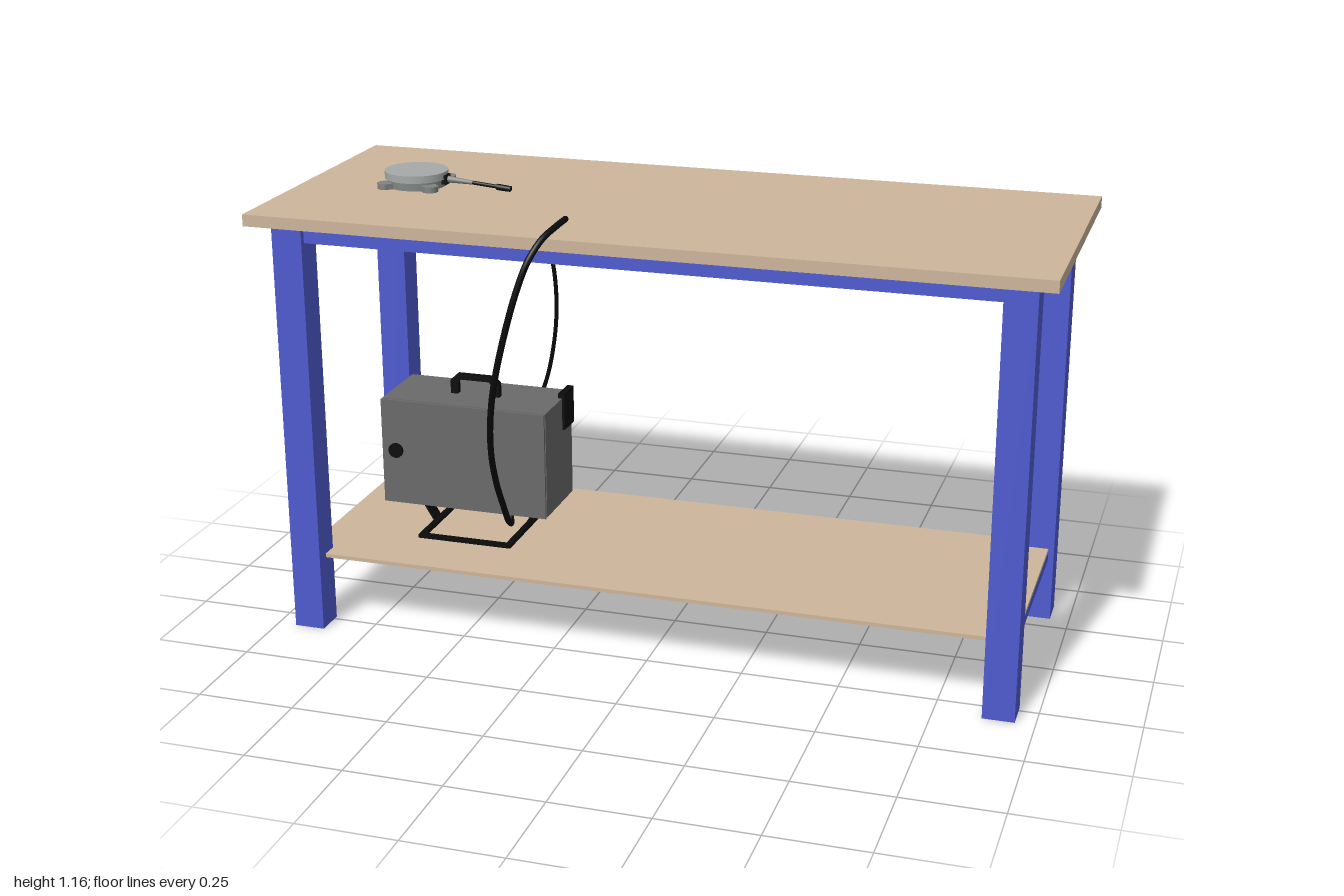
import * as THREE from 'three';

const mat = (color) => new THREE.MeshStandardMaterial({ color });
const WOOD = mat(0xcdb59b), BLUE = mat(0x4f5bd0), GREY = mat(0x6a6a6a);
const BLACK = mat(0x0b0b0b), METAL = mat(0xa5aaa8), DARK_METAL = mat(0x808583);

export function createModel() {
  const root = new THREE.Group();

  const add = (parent, name, geometry, material) => {
    const mesh = new THREE.Mesh(geometry, material);
    mesh.name = name;
    parent.add(mesh);
    return mesh;
  };
  // Box given by its extents on each axis
  const box = (parent, name, material, x0, x1, y0, y1, z0, z1) => {
    const mesh = add(parent, name, new THREE.BoxGeometry(x1 - x0, y1 - y0, z1 - z0), material);
    mesh.position.set((x0 + x1) / 2, (y0 + y1) / 2, (z0 + z1) / 2);
    return mesh;
  };
  const group = (name) => {
    const g = new THREE.Group();
    g.name = name;
    root.add(g);
    return g;
  };
  // Capped cable through a list of points
  const cable = (parent, name, points, r, material = BLACK) => {
    const pts = points.map((p) => new THREE.Vector3(...p));
    const curve = new THREE.CatmullRomCurve3(pts, false, 'centripetal');
    add(parent, name, new THREE.TubeGeometry(curve, 80, r, 10), material);
    for (const end of [pts[0], pts[pts.length - 1]]) {
      add(parent, name + 'End', new THREE.SphereGeometry(r, 10, 6), material).position.copy(end);
    }
  };
  // Round bar between two points
  const bar = (parent, name, a, b, r, material = BLACK) => {
    const p = new THREE.Vector3(...a), q = new THREE.Vector3(...b), d = q.clone().sub(p);
    const mesh = add(parent, name, new THREE.CylinderGeometry(r, r, d.length() + r, 10), material);
    mesh.position.copy(p).add(q).multiplyScalar(0.5);
    mesh.quaternion.setFromUnitVectors(new THREE.Vector3(0, 1, 0), d.normalize());
    return mesh;
  };

  // Bench: top, shelf, legs and rails
  const bench = group('workbench');
  box(bench, 'tabletop', WOOD, -1, 1, 1.095, 1.125, -0.43, 0.367);
  box(bench, 'shelf', WOOD, -0.935, 0.935, 0.19, 0.2, -0.345, 0.28);
  for (const s of [-1, 1]) {
    const x = s * 0.91;
    box(bench, 'frontLeg', BLUE, x - 0.04, x + 0.04, 0, 1.095, 0.236, 0.316);
    box(bench, 'backLeg', BLUE, x - 0.04, x + 0.04, 0, 1.095, -0.38, -0.3);
    box(bench, 'sideApron', BLUE, x - 0.025, x + 0.025, 1.045, 1.095, -0.3, 0.236);
    box(bench, 'shelfRail', BLUE, x - 0.025, x + 0.025, 0.166, 0.19, -0.3, 0.236);
  }
  for (const z of [0.276, -0.34]) {
    box(bench, 'longApron', BLUE, -0.87, 0.87, 1.045, 1.095, z - 0.025, z + 0.025);
  }

  // Control cabinet with door, knob, handle and side box
  const cabinet = group('cabinet');
  box(cabinet, 'cabinetBody', GREY, -0.78, -0.325, 0.288, 0.575, -0.12, 0.08);
  box(cabinet, 'doorSeal', BLACK, -0.777, -0.328, 0.291, 0.572, 0.08, 0.085);
  box(cabinet, 'cabinetDoor', GREY, -0.78, -0.325, 0.288, 0.575, 0.085, 0.092);
  box(cabinet, 'sideBox', BLACK, -0.335, -0.318, 0.488, 0.588, -0.121, -0.048);
  const knob = add(cabinet, 'doorKnob', new THREE.CylinderGeometry(0.02, 0.02, 0.008, 24), BLACK);
  knob.rotation.x = Math.PI / 2;
  knob.position.set(-0.741, 0.436, 0.095);

  const handle = new THREE.Shape();
  [[-0.068, 0], [-0.068, 0.038], [-0.05, 0.055], [0.05, 0.055], [0.068, 0.038], [0.068, 0],
    [0.048, 0], [0.048, 0.032], [0.04, 0.041], [-0.04, 0.041], [-0.048, 0.032], [-0.048, 0]]
    .forEach(([x, y], i) => (i ? handle.lineTo(x, y) : handle.moveTo(x, y)));
  add(cabinet, 'carryHandle', new THREE.ExtrudeGeometry(handle, { depth: 0.018, bevelEnabled: false }), BLACK)
    .position.set(-0.553, 0.574, -0.024);

  // Cabinet stand: flat frame on the shelf with two leaning struts
  const stand = group('cabinetStand');
  const frame = new THREE.Shape();
  frame.moveTo(-0.13, -0.13).lineTo(0.13, -0.13).lineTo(0.13, 0.13).lineTo(-0.13, 0.13).closePath();
  const hole = new THREE.Path();
  hole.moveTo(-0.115, -0.115).lineTo(-0.115, 0.115).lineTo(0.115, 0.115).lineTo(0.115, -0.115).closePath();
  frame.holes.push(hole);
  const base = add(stand, 'standFrame', new THREE.ExtrudeGeometry(frame, { depth: 0.01, bevelEnabled: false }), BLACK);
  base.rotation.x = -Math.PI / 2;
  base.position.set(-0.55, 0.2, -0.02);
  for (const s of [-1, 1]) {
    const strut = box(stand, 'standStrut', BLACK, -0.003, 0.003, -0.049, 0.049, -0.02, 0.02);
    strut.position.set(-0.553 + s * 0.151, 0.248, -0.02);
    strut.rotation.z = -s * 0.55;
  }

  // Round sensor on the tabletop, with corner lugs and plug lead
  const sensor = group('tableSensor');
  const cx = -0.71, cz = -0.043;
  const disc = (name, r, y0, y1, x, z, material) =>
    add(sensor, name, new THREE.CylinderGeometry(r, r, y1 - y0, 40), material).position.set(x, (y0 + y1) / 2, z);
  disc('sensorBody', 0.076, 1.125, 1.15, cx, cz, DARK_METAL);
  disc('sensorLid', 0.082, 1.146, 1.165, cx, cz, METAL);
  for (const sx of [-1, 1]) {
    for (const sz of [-1, 1]) {
      const lug = box(sensor, 'sensorLug', DARK_METAL, -0.025, 0.025, 1.125, 1.14, -0.02, 0.02);
      lug.position.set(cx + sx * 0.05, 1.1325, cz + sz * 0.05);
      lug.rotation.y = -sx * sz * Math.PI / 4;
      disc('lugEnd', 0.02, 1.125, 1.14, cx + sx * 0.062, cz + sz * 0.062, DARK_METAL);
    }
  }
  box(sensor, 'sensorSocket', BLACK, -0.65, -0.622, 1.133, 1.157, cz - 0.014, cz + 0.014);
  const sleeve = add(sensor, 'leadSleeve', new THREE.CylinderGeometry(0.005, 0.009, 0.07, 14), DARK_METAL);
  sleeve.position.set(-0.59, 1.143, cz);
  sleeve.rotation.z = -Math.PI / 2 - 0.07;
  bar(sensor, 'sensorLead', [-0.56, 1.141, cz], [-0.48, 1.134, cz], 0.005);
  bar(sensor, 'leadPlug', [-0.485, 1.134, cz], [-0.455, 1.131, cz], 0.008);

  // Hanging cables
  const cables = group('cables');
  cable(cables, 'thickCable', [
    [-0.197, 1.147, 0.257], [-0.2, 1.143, 0.32], [-0.215, 1.125, 0.375], [-0.237, 1.08, 0.412],
    [-0.262, 1.01, 0.425], [-0.295, 0.9, 0.426], [-0.325, 0.78, 0.422], [-0.352, 0.67, 0.389],
    [-0.375, 0.56, 0.335], [-0.395, 0.45, 0.258], [-0.415, 0.34, 0.16], [-0.437, 0.26, 0.07],
    [-0.453, 0.232, 0.01], [-0.463, 0.245, -0.012], [-0.468, 0.295, -0.02]], 0.008);
  cable(cables, 'thinCable', [
    [-0.4, 1.1, -0.045], [-0.383, 1.04, -0.062], [-0.36, 0.96, -0.079], [-0.355, 0.85, -0.102],
    [-0.37, 0.72, -0.127], [-0.41, 0.57, -0.149], [-0.48, 0.43, -0.158], [-0.56, 0.34, -0.154],
    [-0.594, 0.28, -0.135], [-0.59, 0.256, -0.1], [-0.57, 0.262, -0.06], [-0.55, 0.295, -0.03]], 0.0055);

  return root;
}
